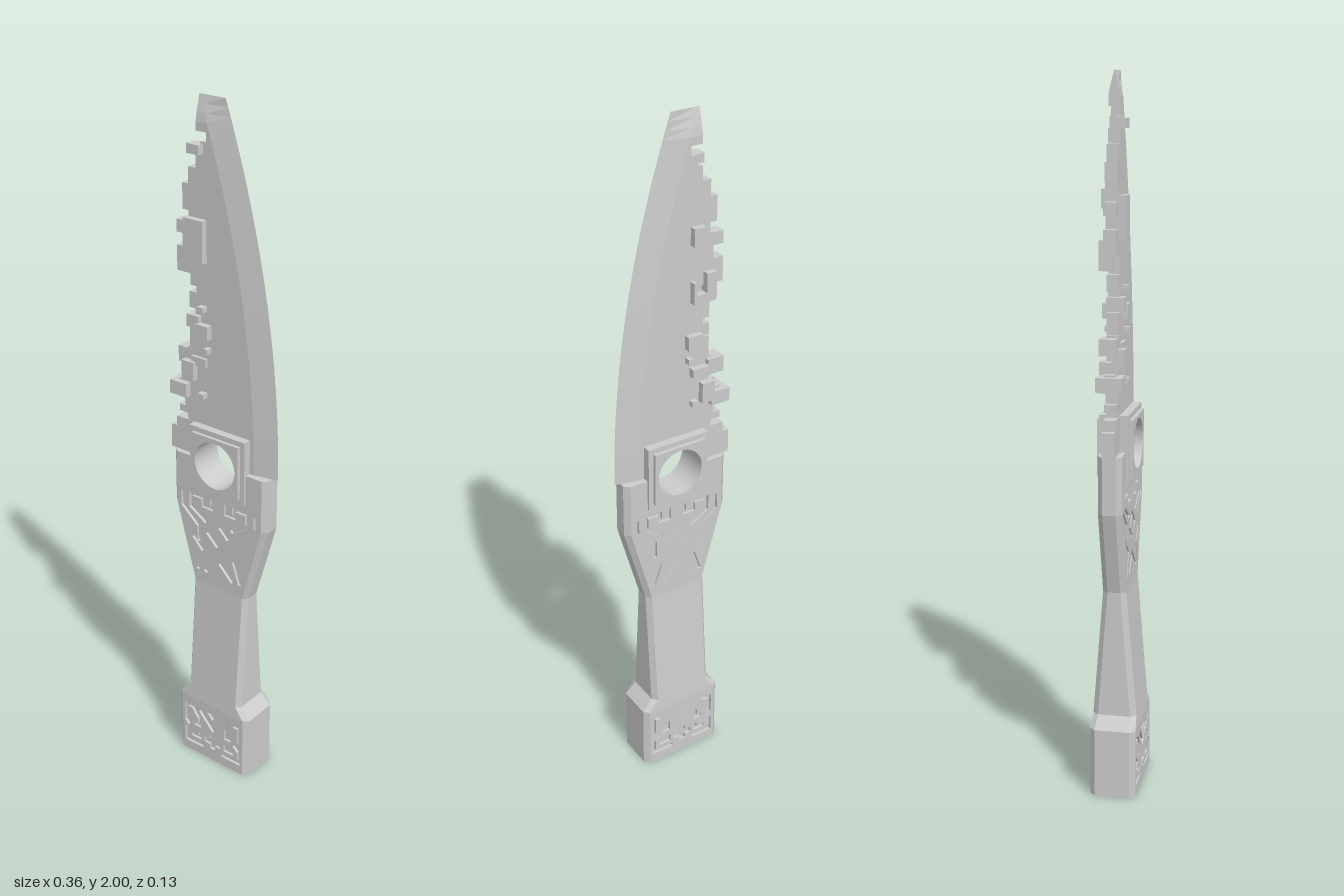
import * as THREE from 'three';

const mat = new THREE.MeshStandardMaterial({ color: 0xcccccc, flatShading: true, side: THREE.DoubleSide });

function add(parent, name, geo) {
  const m = new THREE.Mesh(geo, mat);
  m.name = name;
  parent.add(m);
  return m;
}

// Skin convex rings of [x, y, z]; skip(segment, column) leaves a panel open
function loft(rings, skip = () => false) {
  const pos = [], n = rings[0].length;
  const tri = (...p) => p.forEach(q => pos.push(...q));
  for (let s = 0; s < rings.length - 1; s++) {
    const a = rings[s], b = rings[s + 1];
    for (let i = 0; i < n; i++) {
      if (skip(s, i)) continue;
      const j = (i + 1) % n;
      tri(a[i], a[j], b[j]);
      tri(a[i], b[j], b[i]);
    }
  }
  const lo = rings[0], hi = rings[rings.length - 1];
  for (let i = 1; i < n - 1; i++) {
    tri(lo[0], lo[i + 1], lo[i]);
    tri(hi[0], hi[i], hi[i + 1]);
  }
  const g = new THREE.BufferGeometry();
  g.setAttribute('position', new THREE.Float32BufferAttribute(pos, 3));
  g.computeVertexNormals();
  return g;
}

const vecs = pts => pts.map(p => new THREE.Vector2(...p));
const mirror = pts => pts.map(([x, y]) => [-x, y]);

// Outline of a stroke of constant width with mitred corners
function stroke(pts, w = 0.011) {
  const p = vecs(pts), left = [], right = [];
  p.forEach((q, i) => {
    const d0 = (i ? q.clone().sub(p[i - 1]) : p[1].clone().sub(q)).normalize();
    const d1 = (i < p.length - 1 ? p[i + 1].clone().sub(q) : d0.clone()).normalize();
    const m = new THREE.Vector2(-d0.y - d1.y, d0.x + d1.x).normalize();
    m.multiplyScalar(w / 2 / Math.max(0.5, m.dot(new THREE.Vector2(-d0.y, d0.x))));
    left.push([q.x + m.x, q.y + m.y]);
    right.unshift([q.x - m.x, q.y - m.y]);
  });
  return left.concat(right);
}
const diamond = (y, r) => [[r, y], [0, y + r], [-r, y], [0, y - r]];

// Face plate with cut grooves, a floor behind them and optional islands, on both sides
function engraved(parent, name, outline, grooves, islands, z) {
  const depth = 0.009;
  for (const turn of [0, Math.PI]) {
    const g = new THREE.Group();
    g.name = name;
    g.rotation.y = turn;
    const shape = new THREE.Shape(vecs(outline));
    grooves.forEach(h => shape.holes.push(new THREE.Path(vecs(h))));
    const solids = [shape, ...islands.map(i => new THREE.Shape(vecs(i)))];
    add(g, 'carvedPlate', new THREE.ExtrudeGeometry(solids, { depth, bevelEnabled: false })).position.z = z - depth;
    add(g, 'grooveFloor', new THREE.ShapeGeometry(new THREE.Shape(vecs(outline)))).position.z = z - depth + 0.0005;
    parent.add(g);
  }
}

function buildHandle(root) {
  const handle = new THREE.Group();
  handle.name = 'handle';
  root.add(handle);

  // Chamfered grip: y, half width, face half width, half depth, side half depth
  const rings = [
    [0, 0.13, 0.115, 0.065, 0.05], [0.2, 0.13, 0.115, 0.065, 0.05],
    [0.235, 0.098, 0.085, 0.062, 0.046], [0.6, 0.098, 0.085, 0.033, 0.018],
    [0.84, 0.165, 0.15, 0.033, 0.018], [0.92, 0.165, 0.15, 0.033, 0.018],
  ].map(([y, w, i, h, s]) => [
    [w, y, s], [w, y, -s], [i, y, -h], [-i, y, -h], [-w, y, -s], [-w, y, s], [-i, y, h], [i, y, h],
  ]);
  const carved = [0, 3, 4];
  add(handle, 'grip', loft(rings, (s, c) => carved.includes(s) && (c === 2 || c === 6)));

  // Shoulders on both sides of the ring frame
  for (const turn of [0, Math.PI]) {
    const ring = y => [[0.165, y, 0.018], [0.165, y, -0.018], [0.15, y, -0.033],
      [0.08, y, -0.033], [0.08, y, 0.033], [0.15, y, 0.033]];
    add(handle, 'shoulder', loft([ring(0.92), ring(1)])).rotation.y = turn;
  }

  // Carving of the flared upper grip
  const upper = [
    [[0.13, 0.88], [0.13, 0.835], [0.072, 0.785], [0.072, 0.735]],
    [[0.025, 0.885], [0.025, 0.855], [0.055, 0.855], [0.055, 0.88], [0.1, 0.88], [0.1, 0.84], [0.045, 0.805]],
    [[0.092, 0.745], [0.055, 0.705], [0.077, 0.64]],
  ];
  const caret = [[-0.05, 0.64], [0, 0.69], [0.05, 0.64]];
  engraved(handle, 'upperCarving',
    [[0.085, 0.6], [0.15, 0.84], [0.15, 0.92], [-0.15, 0.92], [-0.15, 0.84], [-0.085, 0.6]],
    [...upper.flatMap(p => [stroke(p), stroke(mirror(p))]), stroke(caret), diamond(0.77, 0.045)],
    [diamond(0.77, 0.03)], 0.033);

  // Carving of the pommel
  const scroll = [
    [[0.035, 0.035], [0.1, 0.035], [0.1, 0.075], [0.085, 0.09], [0.1, 0.105], [0.1, 0.165], [0.075, 0.165],
      [0.05, 0.13], [0.05, 0.105], [0.07, 0.105]],
    [[0.048, 0.08], [0.048, 0.06], [0.08, 0.06]],
  ];
  const cross = [[-0.01, 0.04], [0.01, 0.04], [0.01, 0.055], [0.03, 0.055], [0.03, 0.075], [0.01, 0.075],
    [0.01, 0.09], [-0.01, 0.09], [-0.01, 0.075], [-0.03, 0.075], [-0.03, 0.055], [-0.01, 0.055]];
  engraved(handle, 'pommelCarving',
    [[0.115, 0], [0.115, 0.2], [-0.115, 0.2], [-0.115, 0]],
    [...scroll.flatMap(p => [stroke(p), stroke(mirror(p))]), cross,
      stroke([[-0.045, 0.165], [0, 0.115], [0.045, 0.165]], 0.016),
      [[-0.02, 0.17], [0, 0.148], [0.02, 0.17]]],
    [], 0.065);
}

// Stepped square frame around the round opening
function buildFrame(root) {
  for (const [half, z] of [[0.096, 0.04], [0.081, 0.05]]) {
    const s = new THREE.Shape(vecs([[-half, -half], [half, -half], [half, half], [-half, half]]));
    s.holes.push(new THREE.Path().absarc(0, 0, 0.07, 0, Math.PI * 2, true));
    const g = new THREE.ExtrudeGeometry(s, { depth: z * 2, bevelEnabled: false, curveSegments: 24 });
    add(root, 'ringFrame', g.translate(0, 1.005, -z));
  }
}

function buildBlade(root) {
  const blade = new THREE.Group();
  blade.name = 'blade';
  root.add(blade);

  // One level of the blade, flat at the spine and sharp at the curved edge
  const section = (y, left) => {
    const edge = 0.18 * (1 - (y - 1) ** 2), flat = edge - 0.07;
    const t = 0.016 * Math.min(1, (2 - y) / 0.06 + 0.03);
    return [[edge, y, 0], [flat, y, -t], [left, y, -t], [left, y, t], [flat, y, t]];
  };
  // Ragged spine: start height and left side of each step
  const steps = [
    [1, 0.09], [1.09, -0.12], [1.12, -0.15], [1.14, -0.13], [1.17, -0.15], [1.22, -0.13], [1.25, -0.11],
    [1.275, -0.12], [1.32, -0.11], [1.38, -0.09], [1.435, -0.11], [1.48, -0.085], [1.53, -0.11],
    [1.6, -0.12], [1.635, -0.11], [1.7, -0.13], [1.77, -0.11], [1.815, -0.085], [1.855, -0.07],
    [1.885, -0.05], [1.91, -0.083], [2, 0],
  ];
  for (let i = 0; i < steps.length - 1; i++) {
    const [y0, left] = steps[i], y1 = steps[i + 1][0], n = Math.ceil((y1 - y0) / 0.03);
    const rings = Array.from({ length: n + 1 }, (_, k) => section(y0 + (y1 - y0) * k / n, left));
    add(blade, 'bladeStep', loft(rings));
  }

  // Square fragments on the spine: x0, x1, y0, y1, z0, z1
  const fragments = [
    [-0.18, -0.09, 1, 1.07, -0.017, 0.017], [-0.16, -0.09, 1.07, 1.1, -0.017, 0.017],
    [-0.168, -0.11, 1.175, 1.215, -0.035, 0.035], [-0.15, -0.1, 1.27, 1.315, -0.03, 0.017],
    [-0.15, -0.11, 1.53, 1.6, -0.017, 0.017], [-0.15, -0.11, 1.635, 1.67, -0.017, 0.017],
    [-0.115, -0.05, 1.57, 1.685, 0, 0.035], [-0.1, -0.06, 1.855, 1.88, 0, 0.035],
    [-0.085, -0.05, 1.65, 1.7, -0.035, 0], [-0.12, -0.09, 1.49, 1.57, -0.035, 0],
    [-0.09, -0.05, 1.49, 1.515, -0.035, 0], [-0.06, -0.05, 1.515, 1.55, -0.035, 0],
    [-0.08, -0.035, 1.36, 1.4, -0.035, 0.035], [-0.11, -0.07, 1.385, 1.42, -0.017, 0.03],
    [-0.07, -0.05, 1.435, 1.45, 0, 0.035], [-0.05, -0.035, 1.32, 1.335, -0.035, 0.035],
    [-0.1, -0.05, 1.275, 1.3, -0.035, 0.025], [-0.125, -0.085, 1.23, 1.285, 0, 0.035],
    [-0.07, -0.05, 1.185, 1.2, -0.03, 0.035], [-0.12, -0.08, 1.19, 1.25, -0.035, 0],
  ];
  for (const [x0, x1, y0, y1, z0, z1] of fragments) {
    const g = new THREE.BoxGeometry(x1 - x0, y1 - y0, z1 - z0);
    add(blade, 'spineFragment', g.translate((x0 + x1) / 2, (y0 + y1) / 2, (z0 + z1) / 2));
  }
}

export function createModel() {
  const root = new THREE.Group();
  root.name = 'knife';
  buildHandle(root);
  buildFrame(root);
  buildBlade(root);
  return root;
}
